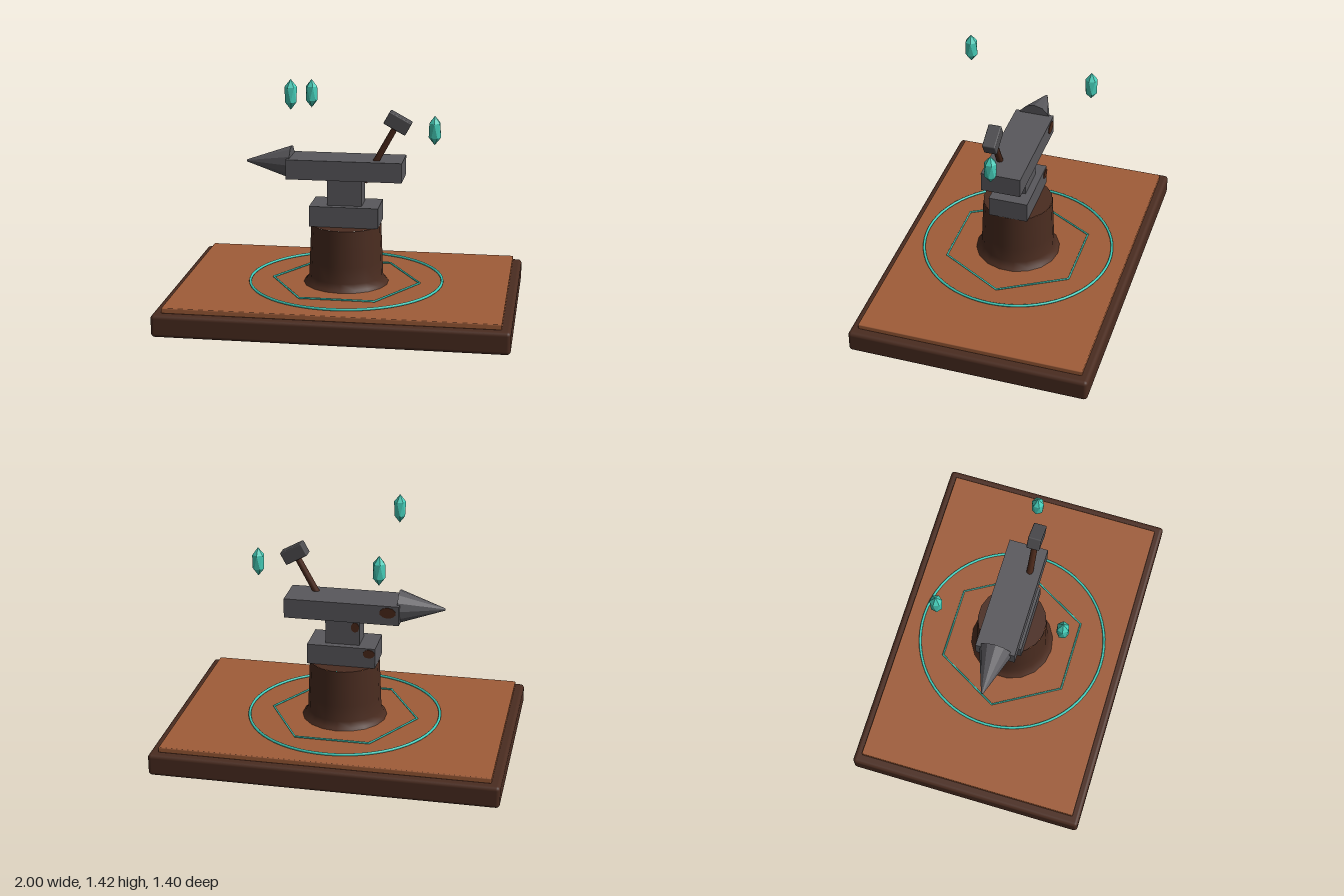
import * as THREE from 'three';
import { RoundedBoxGeometry } from 'three/addons/geometries/RoundedBoxGeometry.js';

const material = (name, color, extra = {}) => {
  const m = new THREE.MeshStandardMaterial({ color, ...extra });
  m.name = name;
  return m;
};

// Faceted crystal: two poles joined by two rings turned half a step apart
function crystalGeometry(radius, halfHeight, shoulder, sides) {
  const points = [];
  const ring = (i, y, turn) => {
    const a = ((i + turn) / sides) * Math.PI * 2;
    return [Math.sin(a) * radius, y, Math.cos(a) * radius];
  };
  for (let i = 0; i < sides; i++) {
    const u0 = ring(i, shoulder, 0), u1 = ring(i + 1, shoulder, 0);
    const l0 = ring(i, -shoulder, 0.5), l1 = ring(i + 1, -shoulder, 0.5);
    points.push(...[0, halfHeight, 0], ...u0, ...u1);
    points.push(...u0, ...l0, ...u1);
    points.push(...u1, ...l0, ...l1);
    points.push(...[0, -halfHeight, 0], ...l1, ...l0);
  }
  const g = new THREE.BufferGeometry();
  g.setAttribute('position', new THREE.Float32BufferAttribute(points, 3));
  g.computeVertexNormals();
  return g;
}

export function createModel() {
  const model = new THREE.Group();
  model.name = 'anvilDisplay';

  const darkWood = material('darkWood', 0x4a2c20);
  const warmWood = material('warmWood', 0x9f5c38);
  const iron = material('iron', 0x59585c, { flatShading: true });
  const headIron = material('hammerIron', 0x4e4d50);
  const glow = material('turquoise', 0x40cdbb);
  const gem = material('crystalTurquoise', 0x46cdb9, { flatShading: true });
  const rust = material('rustBrown', 0x4a281a);

  const add = (name, geometry, mat, x = 0, y = 0, z = 0, parent = model) => {
    const mesh = new THREE.Mesh(geometry, mat);
    mesh.name = name;
    mesh.position.set(x, y, z);
    parent.add(mesh);
    return mesh;
  };

  // Plinth and inlaid top board
  add('plinth', new RoundedBoxGeometry(2, 0.13, 1.4, 3, 0.022), darkWood, 0, 0.065, 0);
  add('topBoard', new RoundedBoxGeometry(1.895, 0.032, 1.31, 2, 0.006), warmWood, 0, 0.145, 0);

  // Glowing circle and hexagon on the board
  add('outerRing', new THREE.TorusGeometry(0.563, 0.008, 8, 64), glow, 0, 0.17, 0).rotation.x = -Math.PI / 2;
  add('hexagonRing', new THREE.TorusGeometry(0.433, 0.006, 6, 6), glow, 0, 0.166, 0).rotation.x = -Math.PI / 2;

  // Flared stump
  const stumpProfile = [[0.255, 0.155], [0.236, 0.175], [0.217, 0.205], [0.213, 0.3], [0.208, 0.42], [0.204, 0.515]]
    .map(([r, y]) => new THREE.Vector2(r, y));
  add('stump', new THREE.LatheGeometry(stumpProfile, 18), darkWood);
  add('stumpTop', new THREE.CircleGeometry(0.204, 18), darkWood, 0, 0.515, 0).rotation.x = -Math.PI / 2;

  // Anvil
  const anvil = new THREE.Group();
  anvil.name = 'anvil';
  model.add(anvil);
  add('anvilFoot', new THREE.BoxGeometry(0.4, 0.12, 0.23), iron, 0, 0.575, 0, anvil);
  add('anvilWaist', new THREE.BoxGeometry(0.2, 0.165, 0.15), iron, 0, 0.712, 0, anvil);
  add('anvilBody', new THREE.BoxGeometry(0.67, 0.115, 0.23), iron, 0, 0.848, 0, anvil);
  const horn = add('anvilHorn', new THREE.CylinderGeometry(0.006, 0.098, 0.265, 12), iron, -0.4525, 0.867, 0, anvil);
  horn.rotation.z = Math.PI / 2;

  // Thin worn patches on the back of the anvil: x, y, z, half width, half height
  [
    [-0.27, 0.865, -0.115, 0.048, 0.032],
    [-0.075, 0.745, -0.075, 0.024, 0.03],
    [-0.163, 0.603, -0.115, 0.035, 0.026],
  ].forEach(([x, y, z, w, h]) => {
    const patch = add('wornPatch', new THREE.CylinderGeometry(1, 1, 0.006, 10), rust, x, y, z - 0.002, anvil);
    patch.rotation.x = Math.PI / 2;
    patch.scale.set(w, 1, h);
  });

  // Hammer leaning through the anvil's front edge
  const hammer = new THREE.Group();
  hammer.name = 'hammer';
  hammer.position.set(0.305, 1.13, 0.052);
  hammer.rotation.z = -0.5;
  model.add(hammer);
  add('hammerHead', new RoundedBoxGeometry(0.142, 0.08, 0.075, 2, 0.007), headIron, 0, 0, 0, hammer);
  add('hammerHandle', new THREE.CylinderGeometry(0.018, 0.02, 0.4, 10), rust, 0, -0.2, 0, hammer);

  // Floating crystals
  const crystal = crystalGeometry(0.035, 0.086, 0.042, 6);
  [[0.51, 1.08, 0], [-0.255, 1.335, 0.36], [-0.262, 1.207, -0.355]].forEach(([x, y, z], i) => {
    add('crystal', crystal, gem, x, y, z).rotation.y = i * 0.7;
  });

  return model;
}
